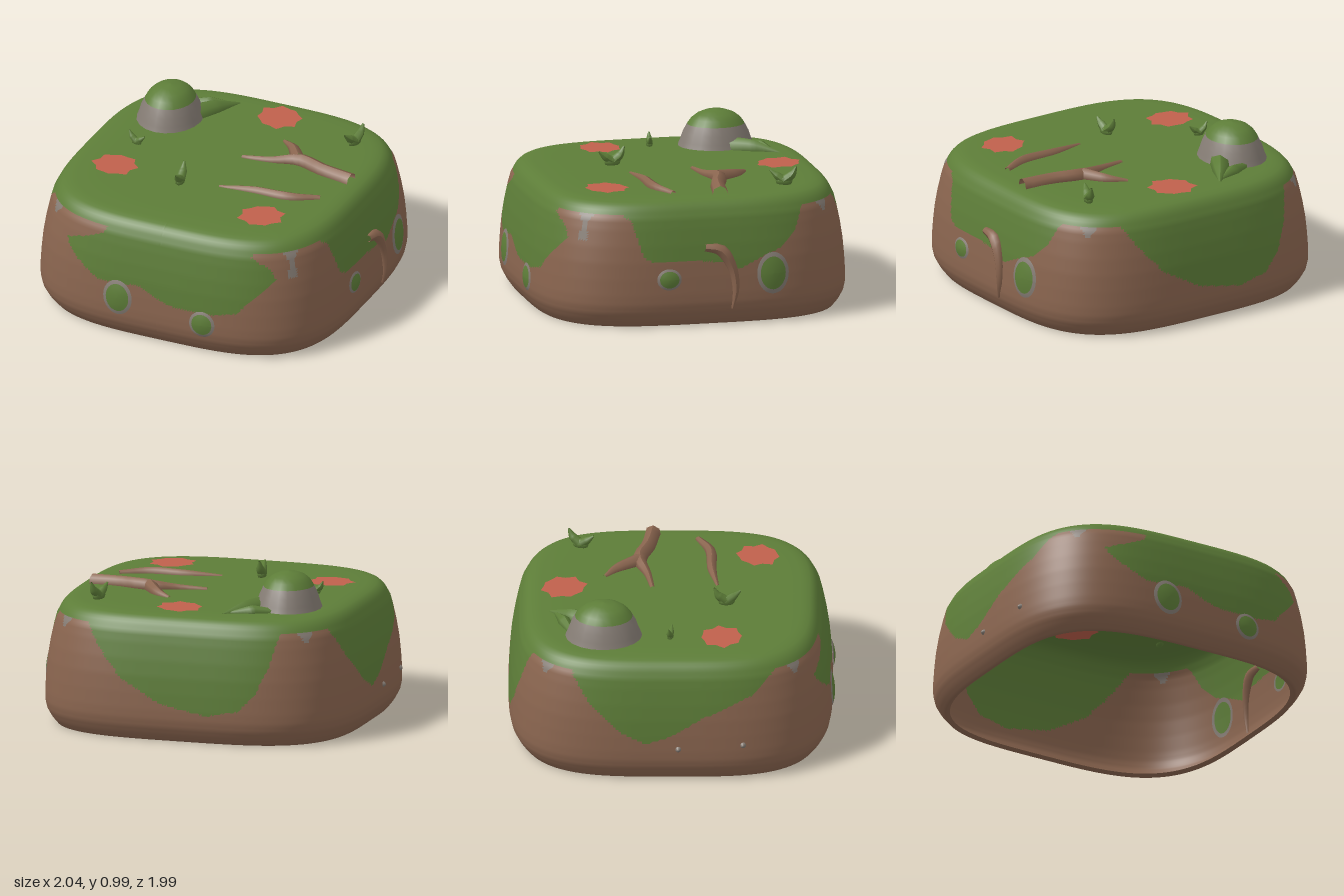
import * as THREE from 'three';

const N = 3.5, DEPTH = 0.985, TOP = 0.77;
// Wall profile: [half width, height]
const PROFILE = [[0.935, 0], [0.965, 0.04], [0.99, 0.09], [1, 0.14], [1, 0.2], [0.994, 0.3], [0.985, 0.4],
  [0.97, 0.5], [0.95, 0.6], [0.935, 0.66], [0.915, 0.7], [0.895, 0.73], [0.86, 0.755], [0.8, 0.766], [0.7, TOP]];
// Lower outline of the turf hanging on each wall (front, +x, back, -x): [along, height]
const TURF = [
  [[-0.36, 0.7], [-0.38, 0.65], [-0.5, 0.6], [-0.64, 0.55], [-0.63, 0.51], [-0.52, 0.42], [-0.4, 0.35], [-0.12, 0.37],
    [0, 0.31], [0.1, 0.28], [0.38, 0.28], [0.52, 0.31], [0.6, 0.4], [0.73, 0.53], [0.7, 0.6], [0.58, 0.67], [0.6, 0.7]],
  [[-0.55, 0.7], [-0.48, 0.65], [-0.45, 0.55], [-0.42, 0.45], [-0.36, 0.4], [-0.05, 0.4], [0.1, 0.39], [0.18, 0.34],
    [0.32, 0.4], [0.46, 0.46], [0.55, 0.55], [0.62, 0.7]],
  [[-0.6, 0.7], [-0.5, 0.55], [-0.35, 0.38], [-0.1, 0.24], [0.2, 0.18], [0.4, 0.22], [0.5, 0.32], [0.58, 0.5], [0.63, 0.7]],
  [[-0.62, 0.7], [-0.5, 0.5], [-0.3, 0.32], [-0.15, 0.25], [0, 0.3], [0.2, 0.42], [0.5, 0.55], [0.66, 0.7]],
];

function halfWidth(y) {
  for (let i = 1; i < PROFILE.length; i++) {
    const [s0, y0] = PROFILE[i - 1], [s1, y1] = PROFILE[i];
    if (y <= y1) return s0 + (s1 - s0) * (y - y0) / (y1 - y0);
  }
  return 0.7;
}

// Point on wall f at distance u along it, pushed outwards by off
function wallPoint(f, u, y, off = 0) {
  const s = halfWidth(y), z = s * (1 - Math.abs(u / s) ** N) ** (1 / N) + off;
  const p = new THREE.Vector3(u, y, z).applyAxisAngle(new THREE.Vector3(0, 1, 0), f * Math.PI / 2);
  p.z *= DEPTH;
  return p;
}

function insidePolygon(poly, x, y) {
  let hit = false;
  for (let i = 0, j = poly.length - 1; i < poly.length; j = i++) {
    const [xi, yi] = poly[i], [xj, yj] = poly[j];
    if ((yi > y) !== (yj > y) && x < (xj - xi) * (y - yi) / (yj - yi) + xi) hit = !hit;
  }
  return hit;
}

// 0 grass, 1 soil, 2 stone
function surfaceKind(p) {
  if (p.y > 0.69) return 0;
  const z = p.z / DEPTH, angle = Math.atan2(p.x, z), f = (Math.round(angle / (Math.PI / 2)) + 4) % 4;
  const u = [p.x, -z, -p.x, z][f];
  const drip = p.x > 0 && z > 0;
  const d = Math.abs(Math.abs(Math.abs(angle) - Math.PI / 2) - Math.PI / 4 + (drip ? 0.03 : 0)) * 1.15;
  if (d < 0.06 * (1 - (0.69 - p.y) / 0.07)) return 2;
  if (drip && p.y > 0.53 && d < (p.y < 0.58 ? 0.03 : 0.02)) return 2;
  return insidePolygon(TURF[f], u, p.y) ? 0 : 1;
}

// Build a surface of (rows+1) x (cols+1) points
function gridGeometry(rows, cols, point) {
  const pos = [], index = [];
  for (let i = 0; i <= rows; i++) for (let j = 0; j <= cols; j++) {
    pos.push(...point(i / rows, j / cols, i).toArray());
    if (i < rows && j < cols) {
      const a = i * (cols + 1) + j, d = a + cols + 1;
      index.push(a, a + 1, d + 1, a, d + 1, d);
    }
  }
  const g = new THREE.BufferGeometry();
  g.setAttribute('position', new THREE.Float32BufferAttribute(pos, 3));
  g.setIndex(index);
  g.computeVertexNormals();
  return g;
}

// Tapered tube along a smooth path
function taperedTube(points, radii) {
  const curve = new THREE.CatmullRomCurve3(points), SEG = 14, SIDES = 7;
  const g = new THREE.TubeGeometry(curve, SEG, 1, SIDES), p = g.attributes.position, v = new THREE.Vector3();
  for (let i = 0; i < p.count; i++) {
    const t = Math.floor(i / (SIDES + 1)) / SEG, k = t * (radii.length - 1), a = Math.min(Math.floor(k), radii.length - 2);
    const r = THREE.MathUtils.lerp(radii[a], radii[a + 1], k - a), c = curve.getPointAt(t);
    v.fromBufferAttribute(p, i).sub(c).multiplyScalar(r).add(c);
    p.setXYZ(i, v.x, v.y, v.z);
  }
  g.computeVertexNormals();
  return g;
}

export function createModel() {
  const model = new THREE.Group();
  const mat = (name, color) => new THREE.MeshStandardMaterial({ name, color, side: THREE.DoubleSide });
  const grass = mat('grass', 0x5d7d38), soil = mat('soil', 0x8a654f), stone = mat('stone', 0x857c74), red = mat('redLeaves', 0xbf604c);
  const add = (name, geometry, material, parent = model) => {
    const m = new THREE.Mesh(geometry, material);
    m.name = name;
    parent.add(m);
    return m;
  };
  const V = (x, y, z) => new THREE.Vector3(x, y, z);

  // Hollow block, open below: wall rows, rounded lip, flat top
  const rings = [[0.91, 0.015]];
  for (let i = 0; i <= 46; i++) rings.push([halfWidth(i * 0.015), i * 0.015]);
  rings.push([0.915, 0.7], [0.907, 0.715], [0.895, 0.73], [0.88, 0.744], [0.86, 0.755], [0.83, 0.762], [0.8, 0.766],
    [0.7, TOP], [0.4, TOP], [0, TOP]);
  const shell = gridGeometry(rings.length - 1, 400, (v, t, i) => {
    const a = t * Math.PI * 2, s = Math.sin(a), c = Math.cos(a), [w, y] = rings[i];
    const r = w / (Math.abs(s) ** N + Math.abs(c) ** N) ** (1 / N);
    return V(r * s, y, r * c * DEPTH);
  });
  // Sort the faces into turf, soil and stone
  const sorted = [[], [], []], idx = shell.index.array, q = new THREE.Vector3(), mid = new THREE.Vector3();
  for (let i = 0; i < idx.length; i += 3) {
    mid.set(0, 0, 0);
    for (let k = 0; k < 3; k++) mid.add(q.fromBufferAttribute(shell.attributes.position, idx[i + k]));
    sorted[surfaceKind(mid.divideScalar(3))].push(idx[i], idx[i + 1], idx[i + 2]);
  }
  [['turf', grass], ['soilWall', soil], ['cornerStones', stone]].forEach(([name, material], k) => {
    const g = new THREE.BufferGeometry();
    g.setAttribute('position', shell.attributes.position);
    g.setAttribute('normal', shell.attributes.normal);
    g.setIndex(sorted[k]);
    add(name, g, material);
  });

  // Mossy stones set in the walls, showing on both sides
  const disc = (f, u, y, rx, ry, t0, t1, inner) => gridGeometry(4, 28, (v, t) => {
    const k = t1 + (t0 - t1) * v, a = t * Math.PI * 2;
    const off = inner ? -0.007 : 0.004 + 0.016 * (1 - k * k);
    return wallPoint(f, u + rx * k * Math.cos(a), Math.max(0, y + ry * k * Math.sin(a)), off);
  });
  for (const [f, u, y, rx, ry] of [[0, -0.26, 0.265, 0.097, 0.113], [0, 0.305, 0.205, 0.083, 0.085],
    [1, -0.26, 0.297, 0.077, 0.065], [1, 0.4, 0.305, 0.103, 0.127]]) for (const inner of [false, true]) {
    add('wallStoneRim', disc(f, u, y, rx, ry, 0.79, 1, inner), stone);
    add('wallStoneMoss', disc(f, u, y, rx, ry, 0, 0.79, inner), grass);
  }
  for (const [u, y] of [[0.45, 0.24], [0.05, 0.22]]) for (const inner of [false, true])
    add('pebble', disc(3, u, y, 0.018, 0.018, 0, 1, inner), stone);

  // Boulder with a moss cap
  const boulder = new THREE.Group();
  boulder.name = 'boulder';
  boulder.position.set(-0.545, 0, -0.405);
  boulder.scale.z = 1.16;
  model.add(boulder);
  const lathe = (pts) => new THREE.LatheGeometry(pts.map(([x, y]) => new THREE.Vector2(x, y)), 20);
  add('boulderSide', lathe([[0.205, 0.76], [0.19, 0.8], [0.175, 0.85], [0.152, 0.9]]), stone, boulder);
  add('boulderMoss', lathe([[0.152, 0.9], [0.13, 0.935], [0.1, 0.962], [0.055, 0.982], [0, 0.99]]), grass, boulder);

  // Grassy mound trailing off the boulder
  add('mound', taperedTube([V(-0.42, 0.77, -0.46), V(-0.34, 0.78, -0.58), V(-0.23, 0.765, -0.73)], [0.07, 0.05, 0.008]), grass);
  add('mound', taperedTube([V(-0.52, 0.77, -0.6), V(-0.4, 0.775, -0.64), V(-0.26, 0.77, -0.7)], [0.02, 0.04, 0.008]), grass);

  // Roots lying on the turf and one on the side wall
  const roots = [
    [[V(0.07, 0.768, -0.11), V(0.25, 0.773, -0.14), V(0.42, 0.785, -0.19), V(0.6, 0.78, -0.14), V(0.8, 0.77, -0.11)], [0.015, 0.025, 0.045, 0.045, 0.05]],
    [[V(0.22, 0.768, -0.4), V(0.31, 0.775, -0.33), V(0.41, 0.785, -0.19)], [0.012, 0.035, 0.045]],
    [[V(0.1, 0.767, 0.285), V(0.32, 0.77, 0.25), V(0.55, 0.772, 0.24), V(0.72, 0.768, 0.165)], [0.01, 0.03, 0.035, 0.02]],
    [[[-0.03, 0.48], [0.07, 0.46], [0.14, 0.35], [0.16, 0.22], [0.14, 0.1]].map(([u, y]) => wallPoint(1, u, y, 0.004)), [0.022, 0.04, 0.03, 0.022, 0.008]],
  ];
  for (const [path, radii] of roots) add('root', taperedTube(path, radii), soil);

  // Jagged patches of red leaves, also showing underneath
  for (const [x, z, r, turn] of [[0.07, -0.65, 0.155, 0.3], [-0.585, 0.31, 0.15, 0.9], [0.495, 0.53, 0.15, 1.4]]) {
    const shape = new THREE.Shape();
    for (let i = 0; i < 16; i++) {
      const a = turn + i * Math.PI / 8, k = r * (i % 2 ? 0.78 : 0.92 + 0.1 * Math.sin(i * 2.3));
      shape[i ? 'lineTo' : 'moveTo'](k * Math.cos(a), k * Math.sin(a));
    }
    for (const y of [TOP + 0.007, TOP - 0.005]) {
      const leaf = add('redLeafPatch', new THREE.ShapeGeometry(shape), red);
      leaf.rotation.x = -Math.PI / 2;
      leaf.position.set(x, y, z);
    }
  }

  // Small two-lobed sprouts
  for (const [x, z, size, turn] of [[-0.135, 0.34, 1, 0.1], [0.62, -0.55, 1, -0.35], [-0.585, 0, 0.7, 1.4]]) {
    const sprout = new THREE.Group();
    sprout.name = 'sprout';
    sprout.position.set(x, TOP, z);
    sprout.rotation.y = turn;
    sprout.scale.setScalar(size);
    model.add(sprout);
    add('sproutBase', new THREE.SphereGeometry(0.035, 8, 6).scale(0.85, 1, 1.5).translate(0, 0.02, 0), grass, sprout);
    add('sproutLeaf', taperedTube([V(0, 0.02, 0), V(0, 0.06, -0.05), V(0, 0.11, -0.075)], [0.03, 0.026, 0.006]), grass, sprout);
    add('sproutLeaf', taperedTube([V(0, 0.02, 0), V(0, 0.055, 0.05), V(0, 0.085, 0.085)], [0.03, 0.024, 0.006]), grass, sprout);
  }
  return model;
}
